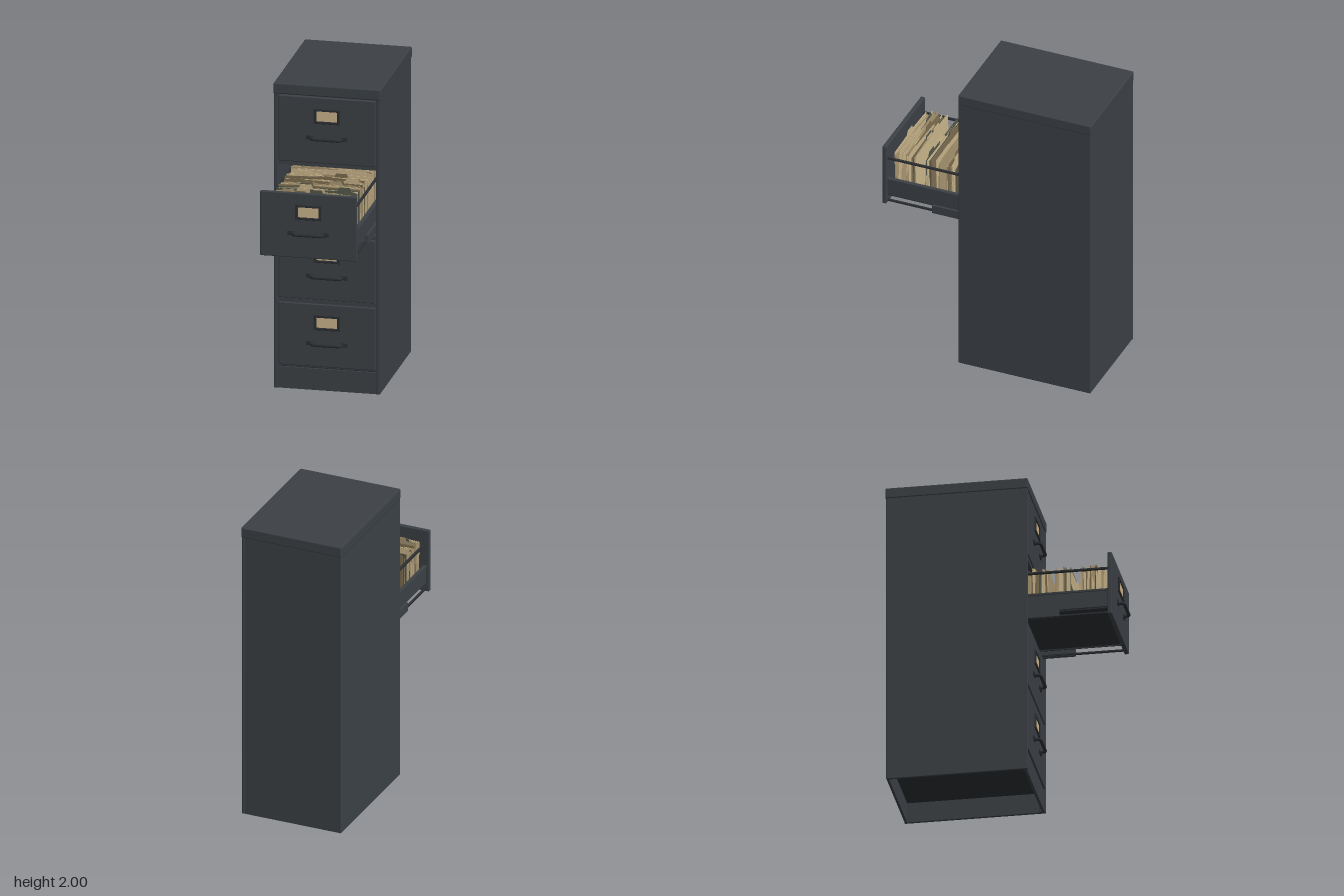
import * as THREE from 'three';
import { RoundedBoxGeometry } from 'three/addons/geometries/RoundedBoxGeometry.js';

const mat = (name, color) => Object.assign(new THREE.MeshStandardMaterial({ color }), { name });

export function createModel() {
  const steel = mat('charcoal steel', 0x3c4146);
  const dark = mat('dark metal', 0x2c2f33);
  const label = mat('label card', 0xcbb48a);
  const papers = [
    mat('manila', 0xc9b48a), mat('tan', 0xa89570),
    mat('brown', 0x7d6d50), mat('olive', 0x55584a),
  ];
  const root = new THREE.Group();
  root.name = 'filingCabinet';

  // Box given by its min and max corners; r rounds the edges
  function box(parent, name, m, x0, x1, y0, y1, z0, z1, r = 0) {
    const s = [x1 - x0, y1 - y0, z1 - z0];
    const g = r ? new RoundedBoxGeometry(...s, 2, r) : new THREE.BoxGeometry(...s);
    const mesh = new THREE.Mesh(g, m);
    mesh.position.set((x0 + x1) / 2, (y0 + y1) / 2, (z0 + z1) / 2);
    mesh.name = name;
    parent.add(mesh);
    return mesh;
  }

  // Cabinet shell, hollow and open underneath
  const W = 0.339, BACK = -0.738, FRONT = 0.158;
  const shell = new THREE.Group();
  shell.name = 'cabinetShell';
  root.add(shell);
  for (const s of [-1, 1]) {
    const a = s * W, b = s * (W - 0.015), c = s * 0.313;
    box(shell, 'sidePanel', steel, Math.min(a, b), Math.max(a, b), 0, 1.935, BACK, FRONT, 0.004);
    box(shell, 'frontPost', steel, Math.min(a, c), Math.max(a, c), 0, 1.935, 0.12, FRONT, 0.004);
  }
  box(shell, 'backPanel', steel, -W + 0.01, W - 0.01, 0, 1.935, BACK + 0.003, BACK + 0.018);
  box(shell, 'topCap', steel, -0.343, 0.343, 1.93, 2, -0.742, 0.16, 0.008);
  box(shell, 'plinth', steel, -0.315, 0.315, 0, 0.14, 0.135, 0.152);
  box(shell, 'floorPanel', dark, -0.325, 0.325, 0.135, 0.145, -0.725, 0.14);
  for (const y of [0.58, 1.023, 1.48]) {
    box(shell, 'crossRail', steel, -0.315, 0.315, y - 0.013, y + 0.013, 0.1, 0.15);
    box(shell, 'divider', dark, -0.325, 0.325, y - 0.004, y + 0.004, -0.722, 0.1);
  }

  // Label frame: rounded plate with a window
  const frameShape = new THREE.Shape();
  frameShape.moveTo(-0.083, -0.047).lineTo(0.083, -0.047).lineTo(0.083, 0.047).lineTo(-0.083, 0.047);
  const win = new THREE.Path();
  win.moveTo(-0.068, -0.035).lineTo(-0.068, 0.035).lineTo(0.068, 0.035).lineTo(0.068, -0.035);
  frameShape.holes.push(win);
  const frameGeo = new THREE.ExtrudeGeometry(frameShape, {
    depth: 0.006, bevelEnabled: true, bevelThickness: 0.002, bevelSize: 0.002, bevelSegments: 1,
  });

  // Bail handle path in the drawer's local space
  const bail = new THREE.CurvePath();
  const pts = [[-0.095, 0], [-0.095, 0.028], [-0.083, 0.04], [0.083, 0.04], [0.095, 0.028], [0.095, 0]]
    .map(([x, z]) => new THREE.Vector3(x, 0, z));
  for (let i = 1; i < pts.length; i++) bail.add(new THREE.LineCurve3(pts[i - 1], pts[i]));
  const bailGeo = new THREE.TubeGeometry(bail, 40, 0.011, 8);

  // Drawer face with label holder and handle; local z = 0 is its front surface
  function drawerFront(y0, y1, yLabel, yHandle, z) {
    const g = new THREE.Group();
    g.name = 'drawer';
    g.position.z = z;
    root.add(g);
    box(g, 'drawerFront', steel, -0.31, 0.31, y0, y1, -0.028, 0, 0.006);
    const frame = new THREE.Mesh(frameGeo, dark);
    frame.name = 'labelFrame';
    frame.position.set(0, yLabel, 0.002);
    g.add(frame);
    box(g, 'labelCard', label, -0.069, 0.069, yLabel - 0.036, yLabel + 0.036, 0, 0.004);
    const handle = new THREE.Mesh(bailGeo, dark);
    handle.name = 'handle';
    handle.position.set(0, yHandle, 0);
    g.add(handle);
    for (const s of [-1, 1])
      box(g, 'handleFoot', dark, s * 0.108 - 0.024, s * 0.108 + 0.024, yHandle - 0.014, yHandle + 0.014, 0, 0.009, 0.003);
    return g;
  }
  drawerFront(0.155, 0.565, 0.447, 0.31, FRONT);
  drawerFront(0.595, 1.008, 0.89, 0.752, FRONT);
  drawerFront(1.492, 1.922, 1.802, 1.66, FRONT);
  const open = drawerFront(1.04, 1.463, 1.342, 1.203, 0.688);

  // Open drawer tray, in the same local space (tray runs back inside the cabinet)
  const END = -0.85;
  box(open, 'trayFloor', dark, -0.288, 0.288, 1.1, 1.108, END, -0.025);
  box(open, 'trayBack', steel, -0.288, 0.288, 1.1, 1.37, END, END + 0.01);
  for (const s of [-1, 1]) {
    const side = (name, m, x0, x1, ...rest) =>
      box(open, name, m, Math.min(s * x0, s * x1), Math.max(s * x0, s * x1), ...rest);
    side('traySide', steel, 0.28, 0.29, 1.1, 1.215, END, -0.025);
    side('trayLip', steel, 0.27, 0.297, 1.207, 1.22, END, -0.025);
    side('hangingRail', dark, 0.272, 0.288, 1.358, 1.373, END, -0.025, 0.004);
    side('innerRunner', dark, 0.278, 0.292, 1.053, 1.064, END, -0.025);
    side('runnerWeb', dark, 0.278, 0.282, 1.09, 1.102, END, -0.025);
    side('outerRunner', steel, 0.284, 0.306, 1.05, 1.105, -1.38, -0.335);
  }

  // File folders in loose clusters, each a thin tabbed sheet
  let seed = 7;
  const rnd = () => (seed = (seed * 16807) % 2147483647) / 2147483647;
  const files = new THREE.Group();
  files.name = 'fileFolders';
  root.add(files);
  function folder(z) {
    const h = 0.265 + rnd() * 0.04, w = 0.25 + rnd() * 0.012;
    const t = -0.21 + Math.floor(rnd() * 5) * 0.085, tab = rnd() < 0.6 ? 0.024 : 0.004;
    const s = new THREE.Shape();
    s.moveTo(-w, 0).lineTo(w, 0).lineTo(w, h - 0.012 * rnd()).lineTo(t + 0.09, h)
      .lineTo(t + 0.08, h + tab).lineTo(t + 0.01, h + tab).lineTo(t, h).lineTo(-w, h - 0.012 * rnd());
    const m = papers[[0, 0, 1, 0, 2, 1, 0, 3][Math.floor(rnd() * 8)]];
    const mesh = new THREE.Mesh(
      new THREE.ExtrudeGeometry(s, { depth: 0.002 + rnd() * 0.003, bevelEnabled: false }), m);
    mesh.name = 'folder';
    mesh.position.set((rnd() - 0.5) * 0.015, 1.115, z);
    mesh.rotation.set((rnd() - 0.5) * 0.07, (rnd() - 0.5) * 0.03, 0);
    files.add(mesh);
  }
  for (const [z0, z1] of [[-0.12, 0.06], [0.09, 0.2], [0.215, 0.29], [0.315, 0.345], [0.375, 0.43], [0.475, 0.585], [0.6, 0.622]])
    for (let z = z0; z < z1; z += 0.007 + rnd() * 0.006) folder(z);

  return root;
}
